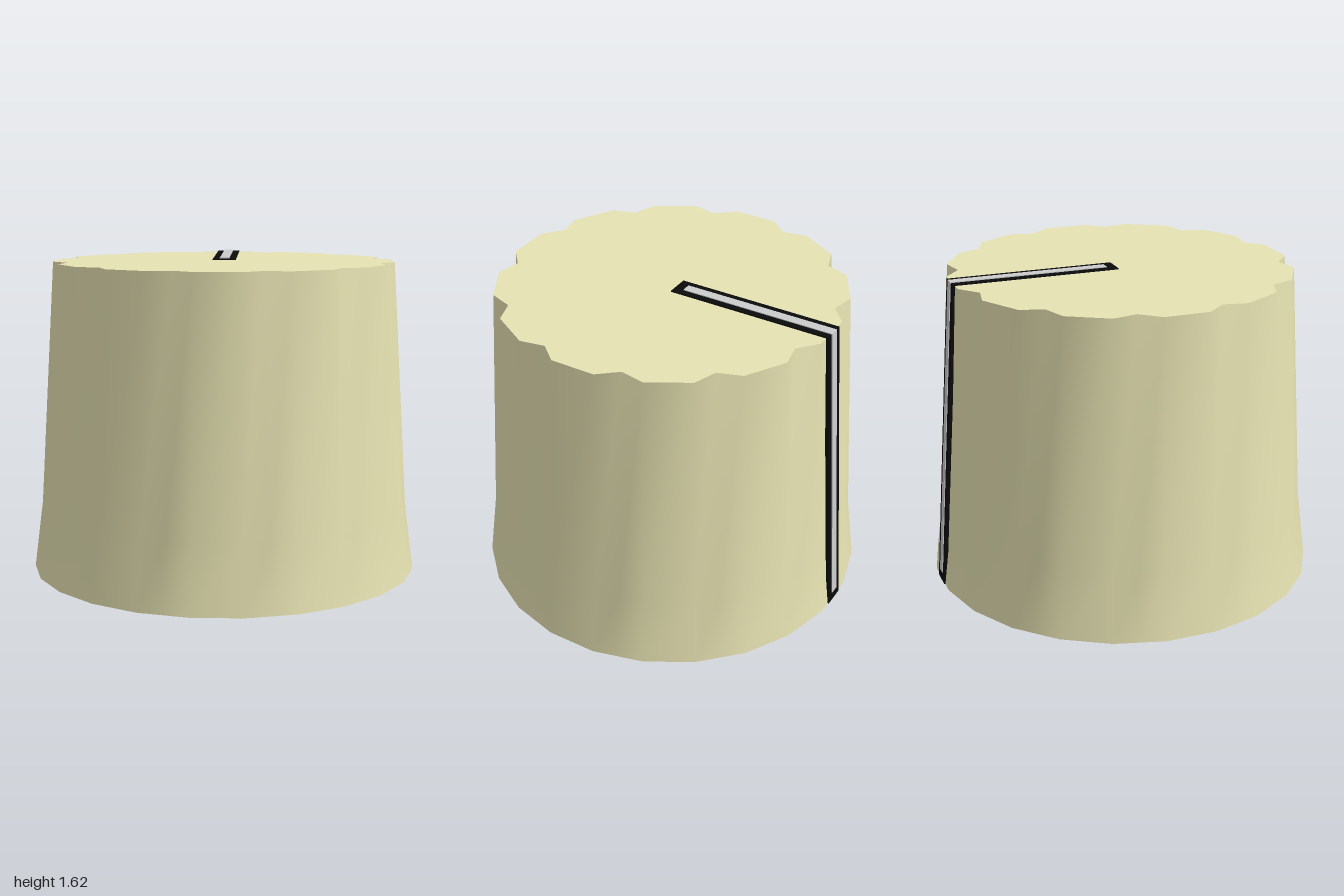
import * as THREE from 'three';

const NOTCHES = 12;
// Height, radius at the notch edges, radius at the notch valley
const RINGS = [[0, 1.0086, 1.0], [0.35, 0.963, 0.955], [1.61, 0.884, 0.82]];

// One ring of points: edge, valley, edge for every notch
function ringPoints([y, edge, valley]) {
  const points = [];
  for (let n = 0; n < NOTCHES; n++) {
    for (const k of [-1, 0, 1]) {
      const a = (n * 2 * Math.PI) / NOTCHES + (k * Math.PI) / 24;
      const r = k === 0 ? valley : edge;
      points.push(new THREE.Vector3(r * Math.sin(a), y, r * Math.cos(a)));
    }
  }
  return points;
}

function surface(points, index) {
  const geometry = new THREE.BufferGeometry().setFromPoints(points);
  geometry.setIndex(index);
  geometry.computeVertexNormals();
  return geometry;
}

// Tapered, fluted side wall
function wallGeometry() {
  const count = NOTCHES * 3;
  const index = [];
  for (let j = 0; j < RINGS.length - 1; j++) {
    for (let i = 0; i < count; i++) {
      const a = j * count + i, b = j * count + ((i + 1) % count);
      index.push(a, b, b + count, a, b + count, a + count);
    }
  }
  return surface(RINGS.flatMap(ringPoints), index);
}

// Flat end closing one ring
function capGeometry(ring, up) {
  const points = ringPoints(ring);
  const count = points.length;
  const index = [];
  for (let i = 0; i < count; i++) {
    const next = (i + 1) % count;
    index.push(count, up ? i : next, up ? next : i);
  }
  return surface([...points, new THREE.Vector3(0, ring[0], 0)], index);
}

// Strip running across the top and down the side, from a radius/height profile
function stripGeometry(profile, width) {
  const shape = new THREE.Shape(profile.map(([r, y]) => new THREE.Vector2(r, y)));
  const geometry = new THREE.ExtrudeGeometry(shape, { depth: width, bevelEnabled: false });
  geometry.translate(0, 0, -width / 2);
  geometry.rotateY(Math.PI / 4);
  return geometry;
}

export function createModel() {
  const model = new THREE.Group();
  const cream = new THREE.MeshStandardMaterial({ color: 0xe6e2b2 });
  const black = new THREE.MeshStandardMaterial({ color: 0x0a0a0a });
  const grey = new THREE.MeshStandardMaterial({ color: 0xcccccc });
  const add = (name, geometry, material, parent) => {
    const mesh = new THREE.Mesh(geometry, material);
    mesh.name = name;
    parent.add(mesh);
  };

  // Knob body
  const body = new THREE.Group();
  body.name = 'knobBody';
  add('flutedWall', wallGeometry(), cream, body);
  add('topFace', capGeometry(RINGS[2], true), cream, body);
  add('bottomFace', capGeometry(RINGS[0], false), cream, body);

  // Pointer: black border with a narrow light line on it
  const pointer = new THREE.Group();
  pointer.name = 'pointer';
  add('pointerBorder', stripGeometry([
    [0.03, 1.6], [0.87, 1.6], [0.99, 0], [1.006, 0], [0.888, 1.616], [0.03, 1.616],
  ], 0.12), black, pointer);
  add('pointerLine', stripGeometry([
    [0.08, 1.605], [0.878, 1.605], [0.992, 0.05], [1.006, 0.05], [0.892, 1.62], [0.08, 1.62],
  ], 0.05), grey, pointer);

  model.add(body, pointer);
  return model;
}
